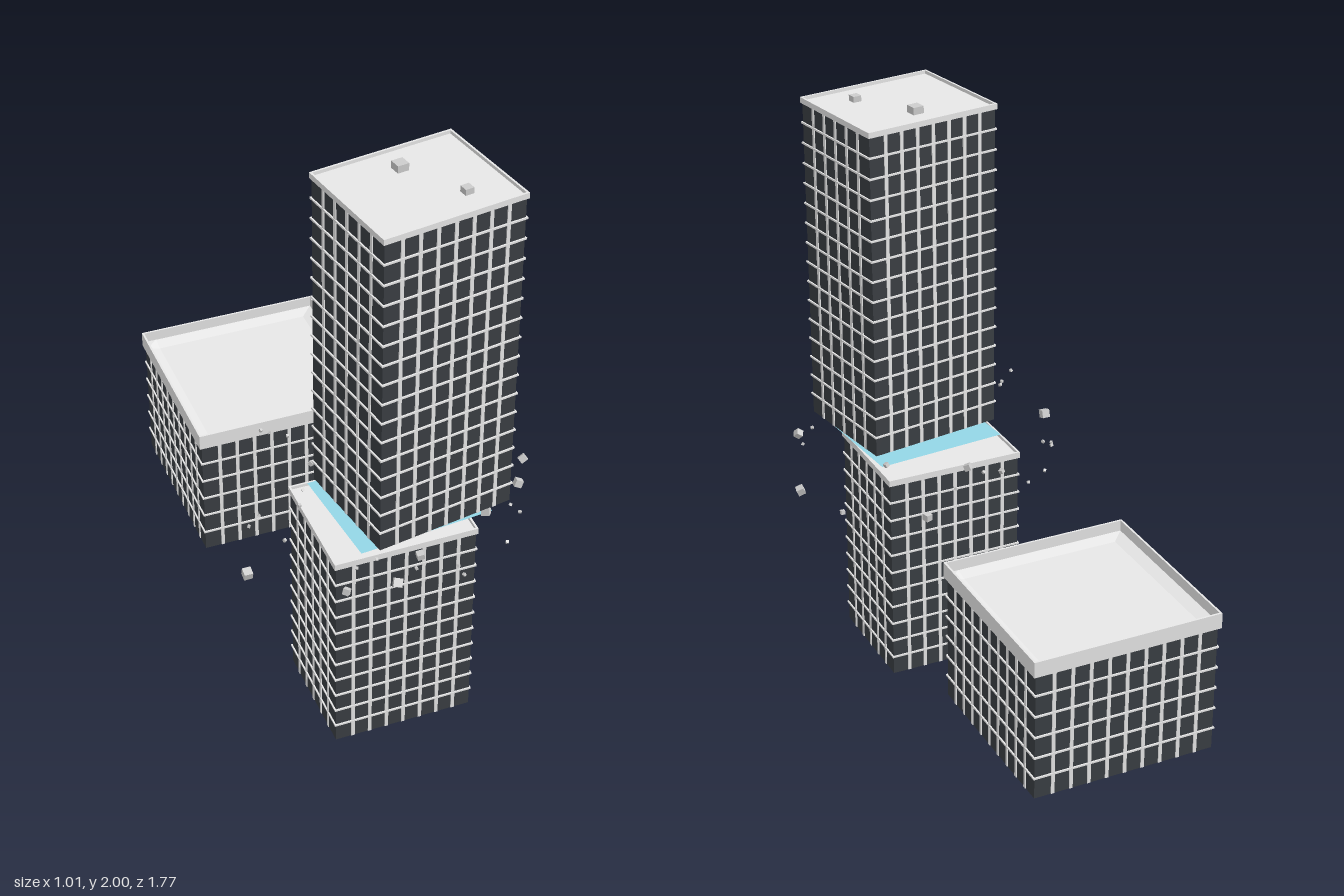
import * as THREE from 'three';

const mat = (name, color, extra = {}) => {
  const m = new THREE.MeshStandardMaterial({ color, ...extra });
  m.name = name;
  return m;
};

export function createModel() {
  const glass = mat('dark glass', 0x3a3e43);
  const concrete = mat('light concrete', 0xe8e8e8);
  const rubble = mat('rubble grey', 0xcccccc);
  const blue = mat('pale blue', 0x93d6e6, { side: THREE.DoubleSide });

  const model = new THREE.Group();
  model.name = 'severedTower';

  const box = (parent, name, material, size, pos) => {
    const mesh = new THREE.Mesh(new THREE.BoxGeometry(...size), material);
    mesh.name = name;
    mesh.position.set(...pos);
    parent.add(mesh);
    return mesh;
  };

  // Thin parapet ring with an open middle, standing on y
  const parapet = (parent, w, d, y, h, t) => {
    for (const s of [-1, 1]) {
      box(parent, 'parapetLong', concrete, [w, h, t], [0, y + h / 2, s * (d - t) / 2]);
      box(parent, 'parapetShort', concrete, [t, h, d - 2 * t], [s * (w - t) / 2, y + h / 2, 0]);
    }
  };

  // Glass block with vertical mullions and floor bands, base at local y = 0
  const block = (name, w, h, d, nx, nz, floors) => {
    const g = new THREE.Group();
    g.name = name;
    box(g, 'glassBody', glass, [w, h, d], [0, h / 2, 0]);
    const strip = 0.012, out = 0.003;
    for (const s of [-1, 1]) {
      for (let i = 1; i < nx; i++)
        box(g, 'mullion', concrete, [strip, h - 0.002, out], [w * (i / nx - 0.5), h / 2, s * (d + out) / 2]);
      for (let i = 1; i < nz; i++)
        box(g, 'mullion', concrete, [out, h - 0.002, strip], [s * (w + out) / 2, h / 2, d * (i / nz - 0.5)]);
    }
    for (let f = 1; f < floors; f++)
      box(g, 'floorBand', concrete, [w + 0.01, 0.006, d + 0.01], [0, h * f / floors, 0]);
    model.add(g);
    return g;
  };

  // Lower tower section
  const lower = block('lowerTower', 0.474, 0.745, 0.402, 8, 6, 11);
  lower.position.set(0, 0, 0.405);
  box(lower, 'roofSlab', concrete, [0.475, 0.008, 0.403], [0, 0.749, 0]);
  parapet(lower, 0.485, 0.413, 0.742, 0.022, 0.007);

  // Twisted upper tower section
  const upper = block('upperTower', 0.474, 1.115, 0.402, 8, 6, 16);
  upper.position.set(0.075, 0.856, 0.457);
  upper.rotation.y = 0.16;
  box(upper, 'roofSlab', concrete, [0.475, 0.006, 0.403], [0, 1.117, 0]);
  parapet(upper, 0.485, 0.413, 1.112, 0.019, 0.007);
  box(upper, 'roofUnit', rubble, [0.038, 0.026, 0.038], [0.002, 1.131, -0.104]);
  box(upper, 'roofUnit', rubble, [0.029, 0.021, 0.029], [0.1, 1.129, 0.1]);

  // Blue sheet glimpsed between the two sections
  const sheet = new THREE.Mesh(new THREE.PlaneGeometry(0.46, 0.38).rotateX(-Math.PI / 2), blue);
  sheet.name = 'blueSheet';
  sheet.position.set(0.046, 0.812, 0.43);
  sheet.rotation.y = 0.09;
  model.add(sheet);

  // Low neighbouring block, its roof rising slightly along the border
  const annex = block('lowBlock', 0.628, 0.452, 0.628, 10, 10, 6);
  annex.position.set(-0.076, 0.187, -0.563);
  const roofGeo = new THREE.PlaneGeometry(0.637, 0.637, 14, 14).rotateX(-Math.PI / 2).toNonIndexed();
  const p = roofGeo.attributes.position;
  for (let i = 0; i < p.count; i++) {
    const edge = Math.max(Math.abs(p.getX(i)), Math.abs(p.getZ(i)));
    p.setY(i, edge > 0.3 ? 0.464 : 0.454);
  }
  roofGeo.computeVertexNormals();
  const roof = new THREE.Mesh(roofGeo, concrete);
  roof.name = 'recessedRoof';
  annex.add(roof);
  parapet(annex, 0.646, 0.646, 0.447, 0.054, 0.007);

  // Floating rubble around the break: x, y, z, size
  const pieces = [
    [-0.49, 0.72, 0.5, 0.028], [0.49, 0.7, 0.38, 0.025], [0.46, 0.87, 0.46, 0.023],
    [-0.09, 0.76, 0.75, 0.028], [0.18, 0.7, 0.03, 0.023], [0, 0.81, 0.1, 0.021],
    [-0.25, 0.76, 0.73, 0.02], [0, 0.81, 0.71, 0.022], [0.27, 0.82, 0.6, 0.026],
    [-0.13, 0.76, 0.11, 0.014], [0.42, 0.7, 0.18, 0.014], [0.26, 0.84, 0.18, 0.014],
  ];
  const chips = [
    [-0.22, 0.81, -0.03], [-0.16, 0.78, -0.03], [0, 0.85, -0.02], [0.1, 0.81, -0.02],
    [-0.27, 0.87, 0.02], [-0.37, 0.74, 0.275], [-0.41, 0.72, 0.29], [-0.27, 0.92, 0.41],
    [-0.3, 0.905, 0.46], [-0.39, 0.88, 0.57], [-0.25, 0.92, 0.81], [-0.14, 0.83, 0.7],
    [-0.02, 0.78, 0.73], [0.05, 0.89, 0.88], [0.09, 0.81, 0.84], [0.28, 0.8, 0.74],
    [0.36, 0.81, 0.59], [0.4, 0.76, 0.58],
  ];
  const debris = new THREE.Group();
  debris.name = 'debris';
  [...pieces, ...chips.map((c) => [...c, 0.009])].forEach(([x, y, z, s], i) => {
    box(debris, 'rubblePiece', rubble, [s, s, s], [x, y, z]).rotation.set(0.3 + i * 0.7, i * 1.1, i * 0.4);
  });
  model.add(debris);
  return model;
}
